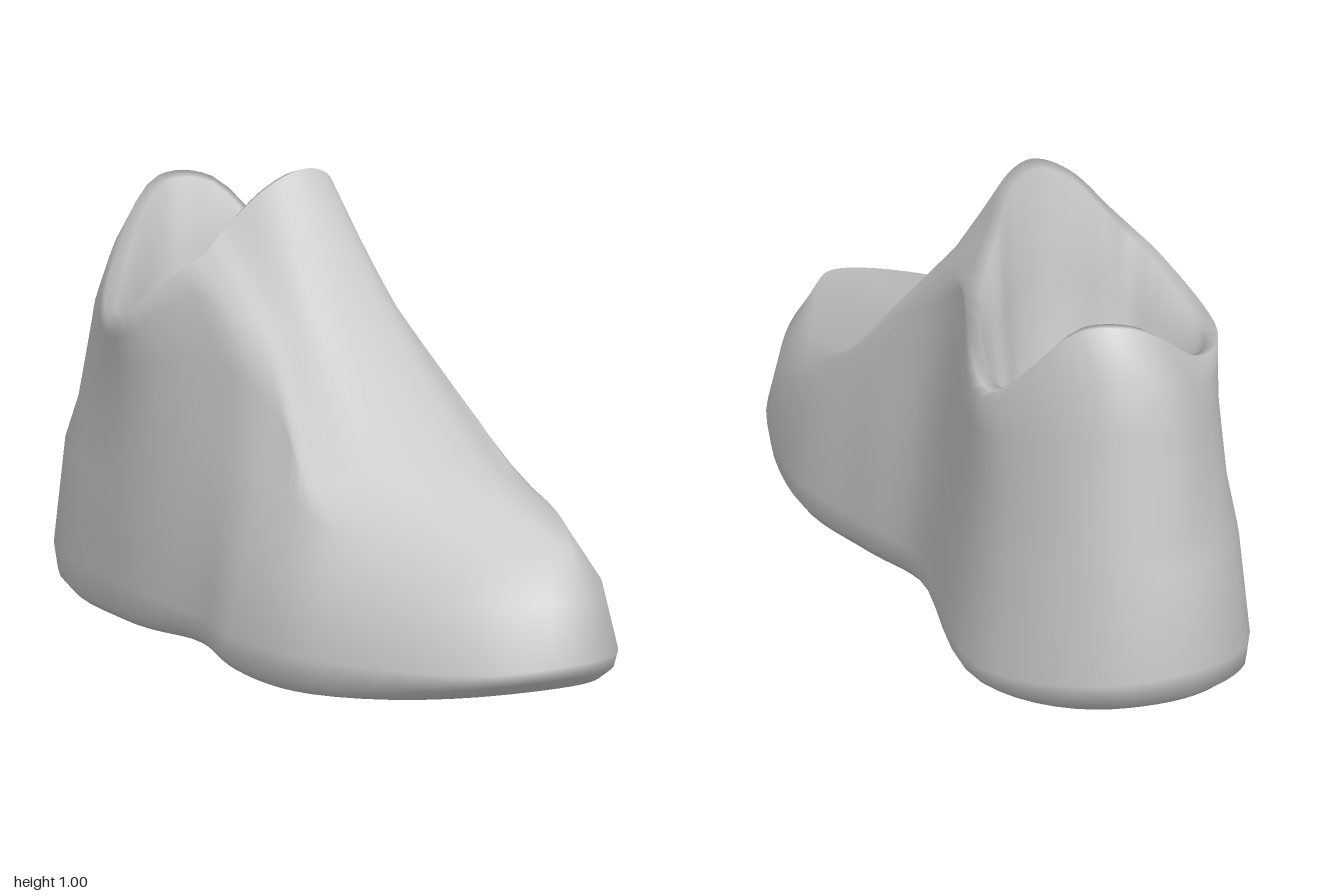
import * as THREE from 'three';

const AROUND = 84; // points per ring

// Rings run heel -> left side -> toe -> right side, as [x, y, z].
const SOLE_EDGE = [[-1, .12, -.2], [-.88, .1, .02], [-.5, .09, .19], [-.1, .09, .315], [.13, .09, .42], [.46, .09, .48],
  [.89, .1, .355], [1, .12, .17], [.84, .1, -.065], [.5, .08, -.235], [.2, .08, -.262], [-.05, .09, -.285],
  [-.6, .06, -.485], [-.92, .1, -.385]];
const FOXING = [[-.975, .34, -.2], [-.865, .33, 0], [-.5, .3, .18], [-.1, .28, .285], [.13, .26, .375], [.46, .23, .445],
  [.83, .24, .335], [.96, .25, .16], [.8, .24, -.055], [.48, .25, -.22], [.2, .27, -.25], [-.05, .28, -.27],
  [-.6, .29, -.455], [-.91, .33, -.365]];
const VAMP = [[-.945, .41, -.2], [-.845, .42, -.02], [-.49, .44, .175], [-.1, .45, .25], [.12, .41, .3], [.42, .345, .365],
  [.74, .345, .27], [.87, .345, .12], [.74, .345, -.01], [.45, .36, -.195], [.2, .42, -.235], [-.05, .45, -.25],
  [-.57, .46, -.44], [-.89, .42, -.36]];
const THROAT = [[-.93, .65, -.2], [-.81, .6, -.03], [-.49, .57, .18], [-.13, .62, .215], [.1, .53, .245], [.27, .42, .3],
  [.36, .44, .19], [.38, .45, .04], [.37, .44, -.09], [.35, .4, -.19], [.14, .55, -.215], [-.08, .63, -.235],
  [-.55, .57, -.44], [-.87, .65, -.35]];
const INSTEP = [[-.895, .77, -.22], [-.77, .66, -.02], [-.49, .62, .19], [-.23, .75, .195], [-.08, .72, .19], [0, .7, .15],
  [.02, .75, .08], [.03, .76, -.03], [.02, .75, -.12], [0, .71, -.18], [-.08, .73, -.21], [-.2, .74, -.26],
  [-.52, .64, -.43], [-.845, .77, -.345]];
const COLLAR = [[-.845, .87, -.25], [-.72, .71, 0], [-.49, .665, .195], [-.33, .78, .16], [-.275, .83, .125], [-.26, .88, .08],
  [-.205, .965, .01], [-.18, 1, -.07], [-.2, .975, -.16], [-.25, .895, -.235], [-.275, .83, -.285], [-.33, .775, -.34],
  [-.54, .665, -.42], [-.78, .865, -.345]];

function smoothRing(points) {
  const curve = new THREE.CatmullRomCurve3(points.map(p => new THREE.Vector3(...p)), true);
  return Array.from({ length: AROUND }, (_, i) => curve.getPoint(i / AROUND));
}

// Underside height: toe spring, rounded heel and a raised arch
function soleHeight(x) {
  const toe = Math.max(0, (x - 0.3) / 0.7);
  const heel = Math.max(0, (-x - 0.6) / 0.4);
  return 0.065 * toe * toe + 0.04 * heel * heel + 0.02 * Math.exp(-(((x + 0.1) / 0.2) ** 2));
}

export function createModel() {
  const edge = smoothRing(SOLE_EDGE);
  const collar = smoothRing(COLLAR);

  const soleRing = (scale, lift) => edge.map(p =>
    new THREE.Vector3(p.x * scale, lift + soleHeight(p.x * scale), p.z * scale));

  // Rings of the cavity shrink about the ankle and sink to the insole
  const cavityRing = (scale, blend, floor) => collar.map(p => new THREE.Vector3(
    -0.48 + (p.x + 0.48) * scale,
    THREE.MathUtils.lerp(p.y, floor, blend),
    -0.11 + (p.z + 0.11) * scale));

  const rings = [
    soleRing(0, 0), soleRing(0.5, 0.002), soleRing(0.94, 0.006), soleRing(0.985, 0.026), edge,
    smoothRing(FOXING), smoothRing(VAMP), smoothRing(THROAT), smoothRing(INSTEP), collar,
    cavityRing(0.89, 0.02, 0.5), cavityRing(0.85, 0.5, 0.5), cavityRing(0.74, 1, 0.41),
    cavityRing(0.5, 1, 0.3), cavityRing(0.25, 1, 0.26), cavityRing(0, 1, 0.25),
  ];

  // One continuous skin so that shading flows across the parts
  const skin = new THREE.BufferGeometry().setFromPoints(rings.flat());
  const strip = (first, last) => {
    const index = [];
    for (let r = first; r < last; r++) {
      for (let i = 0; i < AROUND; i++) {
        const j = (i + 1) % AROUND;
        const a = r * AROUND + i, b = r * AROUND + j;
        index.push(a, b, b + AROUND, a, b + AROUND, a + AROUND);
      }
    }
    return index;
  };
  skin.setIndex(strip(0, rings.length - 1));
  skin.computeVertexNormals();

  const grey = new THREE.MeshStandardMaterial({ color: 0xcccccc });
  grey.name = 'light grey';

  const shoe = new THREE.Group();
  shoe.name = 'shoe';
  for (const [name, first, last] of [['sole', 0, 5], ['upper', 5, 9], ['lining', 9, rings.length - 1]]) {
    const part = new THREE.BufferGeometry();
    part.setAttribute('position', skin.getAttribute('position'));
    part.setAttribute('normal', skin.getAttribute('normal'));
    part.setIndex(strip(first, last));
    const mesh = new THREE.Mesh(part, grey);
    mesh.name = name;
    shoe.add(mesh);
  }
  return shoe;
}
